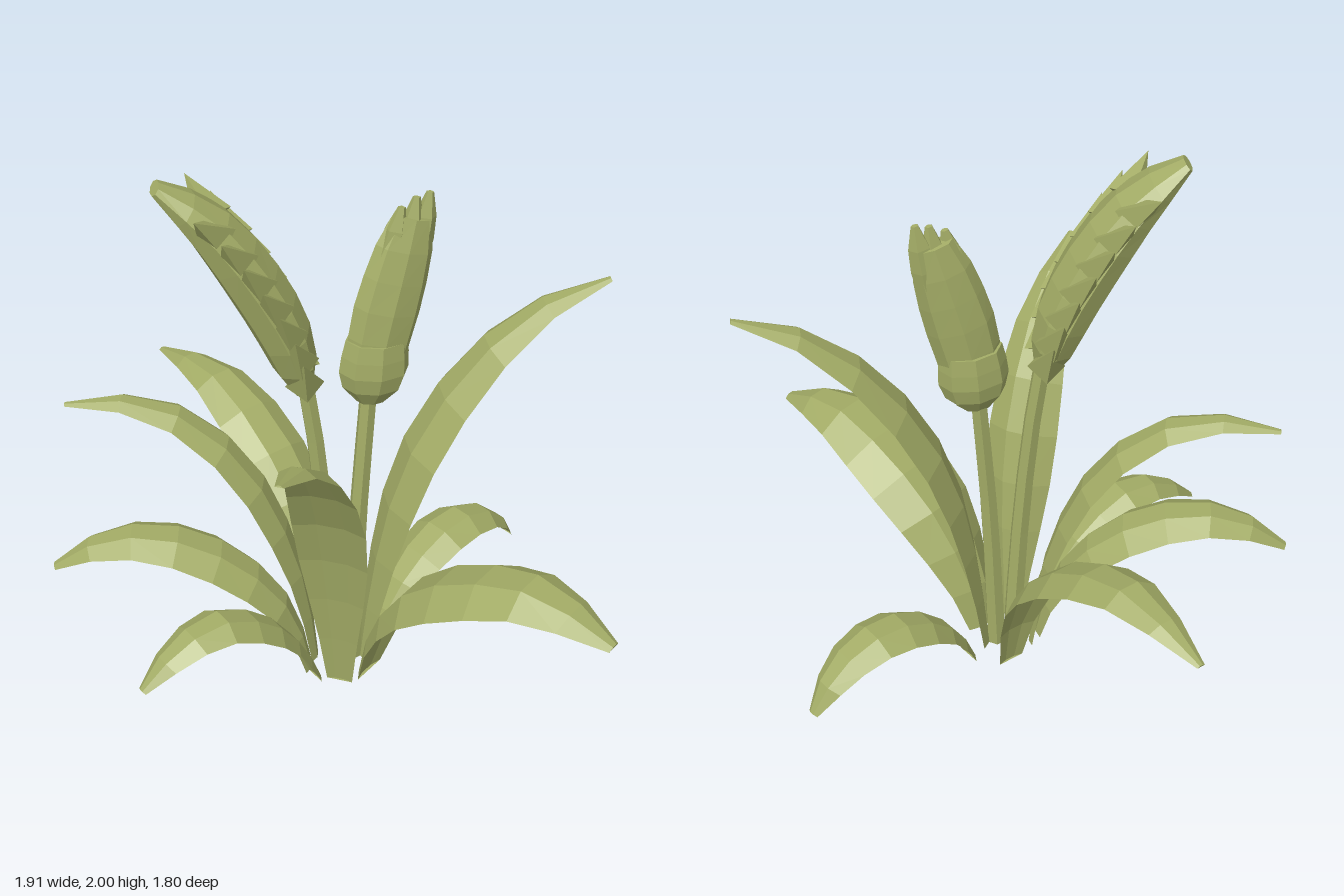
import * as THREE from 'three';

const V = (x, y, z) => new THREE.Vector3(x, y, z);
const UP = V(0, 1, 0);

// Samples a list of evenly spaced values at t in 0..1
function sample(list, t) {
  const f = t * (list.length - 1), i = Math.min(Math.floor(f), list.length - 2);
  return THREE.MathUtils.lerp(list[i], list[i + 1], f - i);
}

// Skins a sweep: section(t) gives counter-clockwise [u, v] points across the path
function sweep(curve, steps, side, section) {
  const pos = [], index = [];
  let n = 0;
  for (let i = 0; i <= steps; i++) {
    const t = i / steps, p = curve.getPointAt(t), tan = curve.getTangentAt(t);
    const s = side.clone().addScaledVector(tan, -side.dot(tan)).normalize();
    const up = tan.clone().cross(s);
    const ring = section(t);
    n = ring.length;
    for (const [u, v] of ring) {
      const q = p.clone().addScaledVector(s, u).addScaledVector(up, v);
      pos.push(q.x, Math.max(q.y, 0), q.z);
    }
  }
  for (let i = 0; i < steps; i++) for (let j = 0; j < n; j++) {
    const a = i * n + j, b = i * n + (j + 1) % n;
    index.push(a, b, b + n, a, b + n, a + n);
  }
  const last = steps * n;
  for (let j = 1; j < n - 1; j++) {
    index.push(0, j + 1, j, last, last + j, last + j + 1);
  }
  const g = new THREE.BufferGeometry();
  g.setAttribute('position', new THREE.Float32BufferAttribute(pos, 3));
  g.setIndex(index);
  g.computeVertexNormals();
  return g;
}

const oval = (w, d, n) => Array.from({ length: n }, (_, k) => {
  const a = (k / n) * Math.PI * 2;
  return [w * Math.cos(a), d * Math.sin(a)];
});

export function createModel() {
  const group = new THREE.Group();
  const green = new THREE.MeshStandardMaterial({ color: 0xa3ac66, flatShading: true });
  green.name = 'leafGreen';
  const add = (name, geometry, parent = group) => {
    const m = new THREE.Mesh(geometry, green);
    m.name = name;
    parent.add(m);
    return m;
  };

  // Arching leaves: base [x, z], tip [x, z], half width, tip roundness, [reach, height] points
  const leaves = [
    ['backLeaf', [0.05, -0.01], [-0.49, -0.89], 0.14, 1,
      [[0, 0], [0.07, 0.3], [0.25, 0.57], [0.47, 0.74], [0.7, 0.81], [1, 0.75]]],
    ['backLeftLowLeaf', [0.19, 0.02], [0.77, -0.37], 0.115, 0.7,
      [[0, 0], [0.1, 0.14], [0.28, 0.27], [0.55, 0.34], [0.83, 0.28], [1, 0.13]]],
    ['leftTallLeaf', [0.13, 0.1], [0.95, 0.07], 0.155, 1,
      [[0, 0], [0.06, 0.4], [0.17, 0.8], [0.33, 1.08], [0.58, 1.33], [0.8, 1.45], [1, 1.5]]],
    ['frontLeftLeaf', [0.13, 0.19], [0.82, 0.88], 0.19, 0.85,
      [[0, 0], [0.06, 0.2], [0.22, 0.45], [0.45, 0.61], [0.73, 0.69], [1, 0.61]]],
    ['frontTallLeaf', [0.03, 0.23], [-0.25, 0.82], 0.13, 1,
      [[0, 0], [0.06, 0.4], [0.17, 0.75], [0.35, 1.0], [0.62, 1.21], [1, 1.32]]],
    ['frontRightLowLeaf', [-0.05, 0.2], [-0.69, 0.53], 0.11, 0.75,
      [[0, 0], [0.12, 0.18], [0.33, 0.36], [0.6, 0.45], [0.85, 0.39], [1, 0.3]]],
    ['rightLowLeaf', [-0.07, 0.14], [-0.95, 0.01], 0.135, 0.75,
      [[0, 0], [0.08, 0.25], [0.25, 0.44], [0.45, 0.55], [0.65, 0.59], [0.85, 0.55], [1, 0.46]]],
    ['rightTallLeaf', [-0.04, 0.09], [-0.87, -0.1], 0.115, 0.95,
      [[0, 0], [0.05, 0.3], [0.13, 0.55], [0.28, 0.82], [0.48, 1.0], [0.7, 1.08], [1, 1.06]]],
  ];
  const blade = [0.36, 0.54, 0.76, 0.94, 1, 0.93, 0.75, 0.47, 0.11];
  for (const [name, [bx, bz], [tx, tz], half, round, path] of leaves) {
    const curve = new THREE.CatmullRomCurve3(path.map(([s, y]) =>
      V(bx + (tx - bx) * s, y, bz + (tz - bz) * s)));
    const side = UP.clone().cross(V(tx - bx, 0, tz - bz).normalize());
    // Arched section: raised middle panel with edges folded down
    add(name, sweep(curve, 8, side, t => {
      const k = sample(blade, t), w = half * (t > 0.5 ? Math.pow(k, round) : k);
      return [[-w, -0.2 * w], [-0.38 * w, -0.04 * w], [0.38 * w, -0.04 * w],
        [w, -0.2 * w], [0.36 * w, 0.2 * w], [-0.36 * w, 0.2 * w]];
    }));
  }

  // Slender stems
  const stem = (name, pts) => add(name, sweep(new THREE.CatmullRomCurve3(pts), 5, V(0, 0, 1),
    t => oval(0.036 - 0.006 * t, 0.036 - 0.006 * t, 6)));
  stem('rightStem', [V(0.03, 0, 0.12), V(0, 0.5, 0.13), V(-0.04, 0.95, 0.13), V(-0.08, 1.24, 0.13)]);
  stem('leftStem', [V(0.09, 0, 0.1), V(0.11, 0.6, 0.09), V(0.145, 1.14, 0.07)]);

  // Serrated flower head leaning right
  const serrated = new THREE.Group();
  serrated.name = 'serratedHead';
  group.add(serrated);
  const head = new THREE.CatmullRomCurve3([V(-0.085, 1.2, 0.13), V(-0.145, 1.42, 0.13),
    V(-0.25, 1.64, 0.13), V(-0.385, 1.84, 0.13), V(-0.54, 1.98, 0.13)]);
  const headWidth = [0.045, 0.115, 0.14, 0.145, 0.145, 0.14, 0.125, 0.095, 0.045];
  const headDepth = [0.035, 0.075, 0.09, 0.095, 0.095, 0.09, 0.078, 0.055, 0.022];
  const Z = V(0, 0, 1);
  add('serratedBody', sweep(head, 8, Z, t =>
    oval(sample(headWidth, t), sample(headDepth, t), 8)), serrated);
  // Broad pointed scales along both edges
  const scale = new THREE.ConeGeometry(0.065, 0.17, 4);
  for (let i = 0; i < 7; i++) for (const s of [-1, 1]) {
    const t = 0.1 + i * 0.115;
    const tan = head.getTangentAt(t), normal = tan.clone().cross(Z);
    const dir = tan.clone().multiplyScalar(0.8).addScaledVector(Z, s * 0.6)
      .addScaledVector(normal, 0.1).normalize();
    const m = add('scale', scale, serrated);
    m.position.copy(head.getPointAt(t))
      .addScaledVector(Z, s * 0.82 * sample(headWidth, t))
      .addScaledVector(normal, 0.25 * sample(headDepth, t))
      .addScaledVector(dir, 0.03);
    m.quaternion.setFromUnitVectors(UP, dir);
  }

  // Smooth bud leaning left, with a collar and pointed tips
  const bud = new THREE.Group();
  bud.name = 'budHead';
  group.add(bud);
  const across = V(0.985, 0, -0.15).normalize();
  const budPath = new THREE.CatmullRomCurve3([V(0.15, 1.12, 0.08), V(0.18, 1.35, 0.075),
    V(0.235, 1.58, 0.06), V(0.285, 1.77, 0.045)]);
  const budWidth = [0.07, 0.1, 0.112, 0.117, 0.112, 0.1, 0.07];
  add('budBody', sweep(budPath, 6, across, t => {
    const w = sample(budWidth, t);
    return oval(w, w * (0.66 - 0.16 * t), 8);
  }), bud);
  const collarPath = new THREE.CatmullRomCurve3([V(0.15, 1.1, 0.08), V(0.158, 1.2, 0.078), V(0.168, 1.34, 0.075)]);
  const collarWidth = [0.05, 0.105, 0.122, 0.118, 0.108];
  add('budCollar', sweep(collarPath, 4, across, t => {
    const w = sample(collarWidth, t);
    return oval(w, w * 0.7, 8);
  }), bud);
  const tips = [[V(0.19, 1.58, 0.07), V(0.245, 1.815, 0.06)],
    [V(0.26, 1.6, 0.055), V(0.295, 1.84, 0.045)],
    [V(0.3, 1.6, 0.04), V(0.34, 1.85, 0.035)]];
  for (const [a, b] of tips) {
    add('budTip', sweep(new THREE.LineCurve3(a, b), 3, across, t => {
      const w = sample([0.04, 0.045, 0.038, 0.013], t);
      return oval(w, w * 0.8, 5);
    }), bud);
  }
  return group;
}
